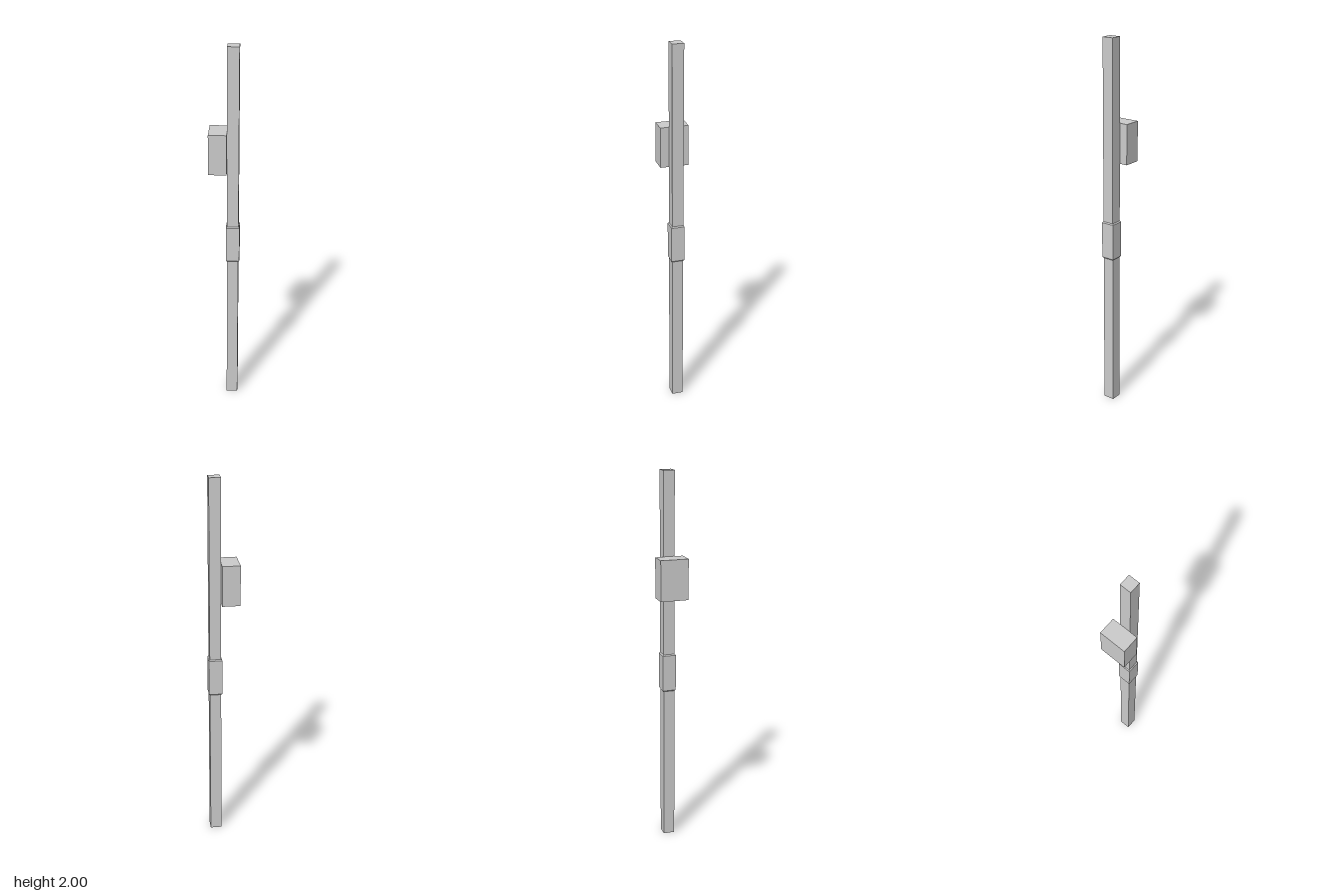
import * as THREE from 'three';

const material = new THREE.MeshStandardMaterial({
  color: 0xcccccc,
  flatShading: true,
  side: THREE.DoubleSide,
});

const POST_X = 0.043;

// Square section swept up a profile of [half width, height] points
function squareLathe(name, profile) {
  const points = profile.map(([half, y]) => new THREE.Vector2(half * Math.SQRT2, y));
  const geometry = new THREE.LatheGeometry(points, 4, Math.PI / 4);
  const mesh = new THREE.Mesh(geometry, material);
  mesh.name = name;
  mesh.position.x = POST_X;
  return mesh;
}

export function createModel() {
  const model = new THREE.Group();
  model.name = 'post';

  // Tall square post, hollow underneath and closed on top
  model.add(squareLathe('pole', [[0.03, 0], [0.03, 2], [0, 2]]));

  // Collar around the middle, its ends closing onto the post
  model.add(squareLathe('collar', [
    [0.03, 0.84], [0.0355, 0.846], [0.0355, 1.039], [0.03, 1.045],
  ]));

  // Box fixed to the right side of the post
  const box = new THREE.Mesh(new THREE.BoxGeometry(0.093, 0.212, 0.148), material);
  box.name = 'sideBox';
  box.position.set(-0.0335, 1.461, 0);
  model.add(box);

  return model;
}
